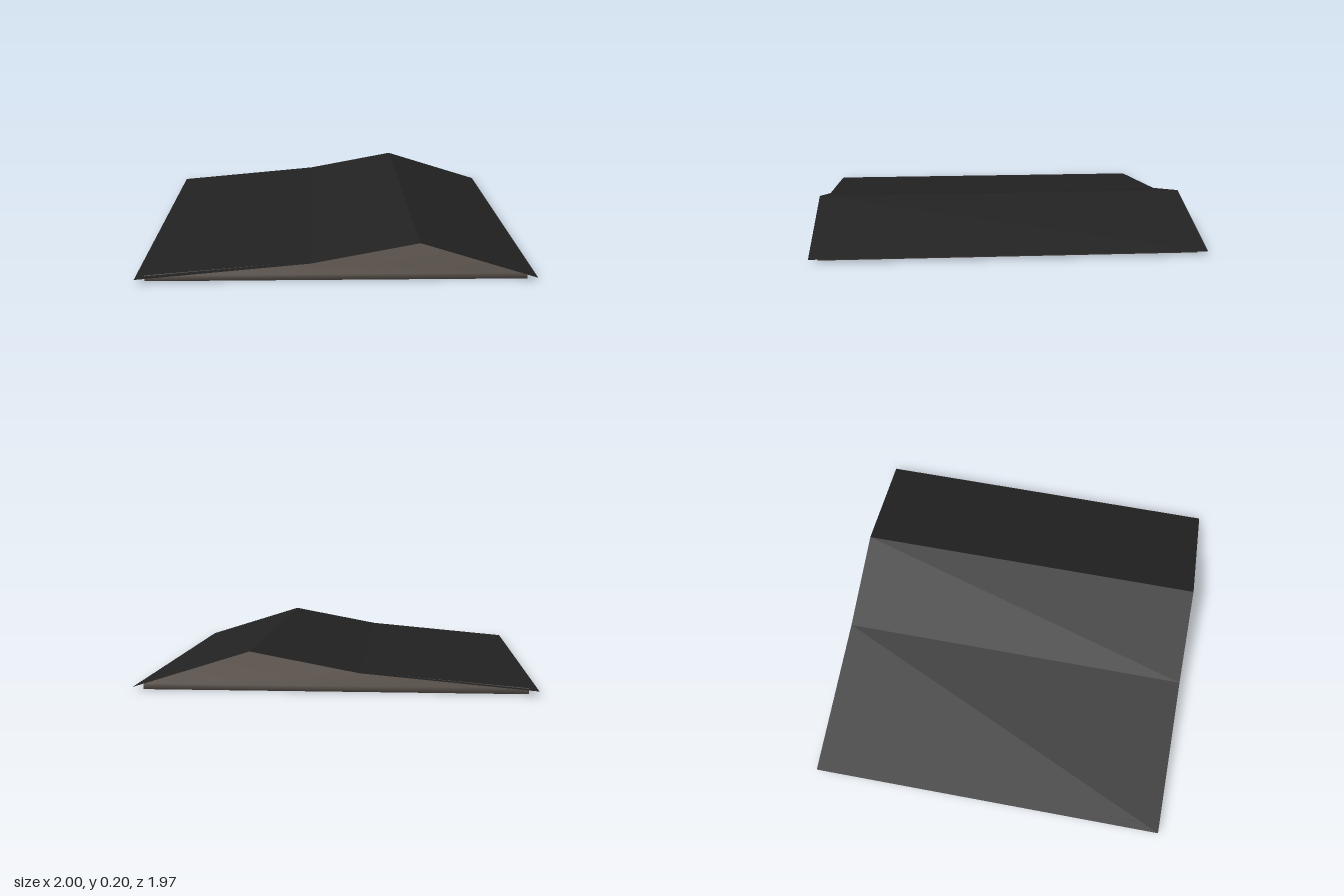
import * as THREE from 'three';

export function createModel() {
  const group = new THREE.Group();
  const dark = new THREE.MeshStandardMaterial({ name: 'roofDark', color: 0x222222, side: THREE.DoubleSide });
  const base = dark.clone();
  base.name = 'roofDark';
  base.side = THREE.FrontSide;
  const stone = new THREE.MeshStandardMaterial({ name: 'wallGreyBrown', color: 0x6b625b });

  // Body: low walls and two gables, open under the roof, with a dark base
  const outline = [[-0.955, 0], [0.955, 0], [0.955, 0.03], [0.41, 0.2], [-0.13, 0.1], [-0.955, 0.03]];
  const points = [0.945, -0.945].flatMap((z) => outline.flatMap(([x, y]) => [x, y, z]));
  const gable = [[0, 1, 2], [0, 2, 5], [5, 2, 4], [4, 2, 3]];
  const walls = [
    ...gable,
    ...gable.map(([a, b, c]) => [a + 6, c + 6, b + 6]),
    [1, 7, 8], [1, 8, 2], // right end
    [6, 0, 5], [6, 5, 11], // left end
  ].flat();
  const floor = [0, 6, 7, 0, 7, 1];
  const body = new THREE.BufferGeometry();
  body.setAttribute('position', new THREE.Float32BufferAttribute(points, 3));
  body.setIndex([...walls, ...floor]);
  body.addGroup(0, walls.length, 0);
  body.addGroup(walls.length, floor.length, 1);
  body.computeVertexNormals();
  const bodyMesh = new THREE.Mesh(body, [stone, base]);
  bodyMesh.name = 'wallsAndBase';
  group.add(bodyMesh);

  // Roof: a thin sheet folded at the ridge and the knee, overhanging all round
  const fold = [[-1, 0.022], [-0.13, 0.101], [0.41, 0.203], [1, 0.018]];
  const sheet = new THREE.PlaneGeometry(2, 1.97, 3, 1).rotateX(-Math.PI / 2);
  const pos = sheet.attributes.position;
  for (let i = 0; i < pos.count; i++) {
    const [x, y] = fold[i % 4];
    pos.setXYZ(i, x, y, pos.getZ(i));
  }
  const roofGeometry = sheet.toNonIndexed();
  roofGeometry.computeVertexNormals();
  const roof = new THREE.Mesh(roofGeometry, dark);
  roof.name = 'roof';
  group.add(roof);

  return group;
}
